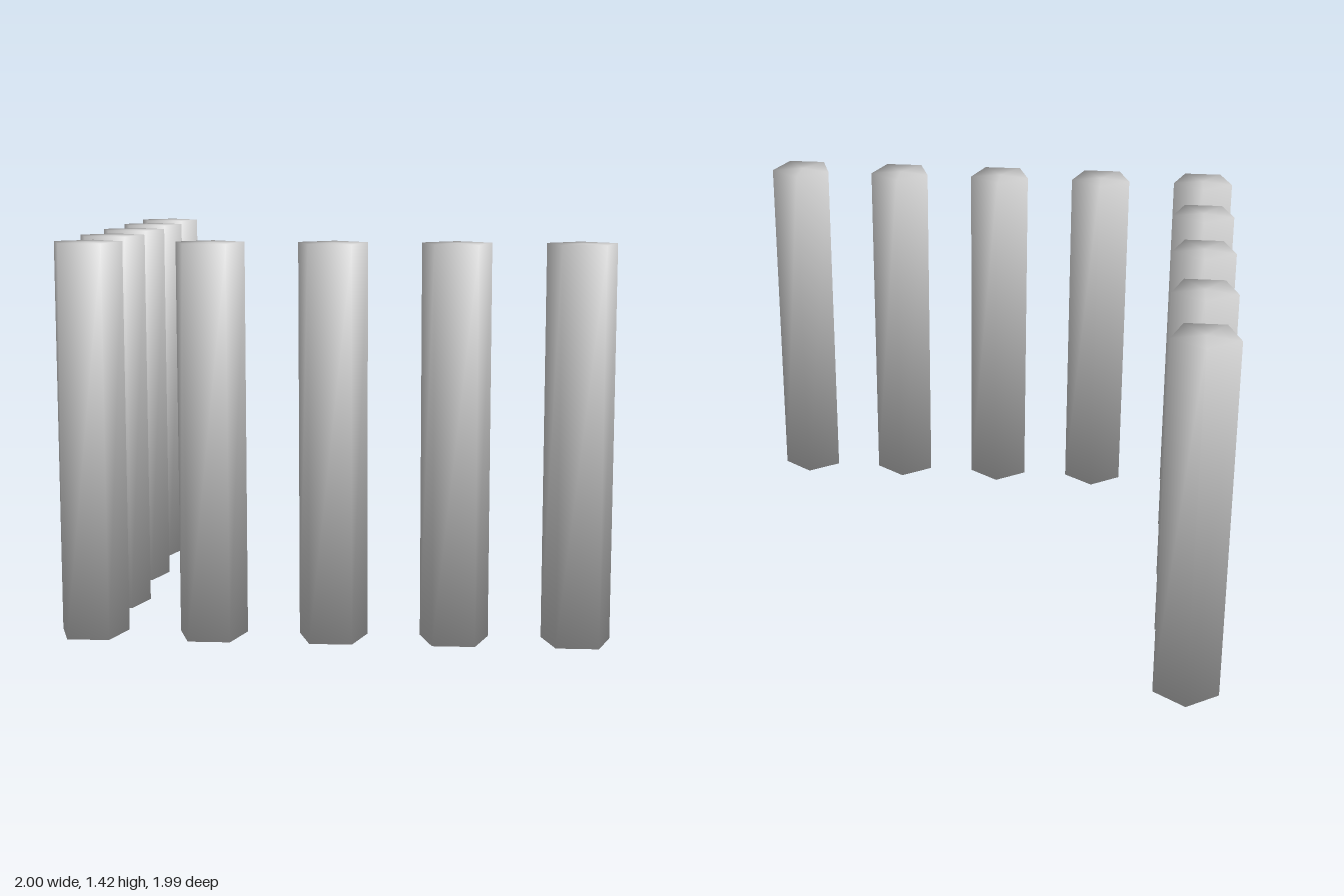
import * as THREE from 'three';

const RADIUS = 0.13, HEIGHT = 1.425, SPACING = 0.4382;

// Five-sided post, one corner to the back, shaded smoothly across sides and caps
function postGeometry() {
  const geo = new THREE.CylinderGeometry(RADIUS, RADIUS, HEIGHT, 5, 1, false, Math.PI);
  const pos = geo.attributes.position, normal = geo.attributes.normal;
  const n = new THREE.Vector3();
  for (let i = 0; i < pos.count; i++) {
    n.set(pos.getX(i) / RADIUS * 0.81, Math.sign(pos.getY(i)) * 0.59, pos.getZ(i) / RADIUS * 0.81).normalize();
    normal.setXYZ(i, n.x, n.y, n.z);
  }
  return geo.translate(0, HEIGHT / 2, 0);
}

export function createModel() {
  const model = new THREE.Group();
  model.name = 'cornerOfPosts';
  const geo = postGeometry();
  const material = new THREE.MeshStandardMaterial({ color: 0xcccccc });
  const first = -2 * SPACING, frontZ = 0.889;

  const addPost = (name, x, z) => {
    const post = new THREE.Mesh(geo, material);
    post.name = name;
    post.position.set(x, 0, z);
    model.add(post);
  };

  // Front row, including the shared corner post
  for (let i = 0; i < 5; i++) addPost(i ? `frontPost${i}` : 'cornerPost', first + i * SPACING, frontZ);
  // Side row running back from the corner
  for (let i = 1; i < 5; i++) addPost(`sidePost${i}`, first, frontZ - i * SPACING);

  return model;
}
